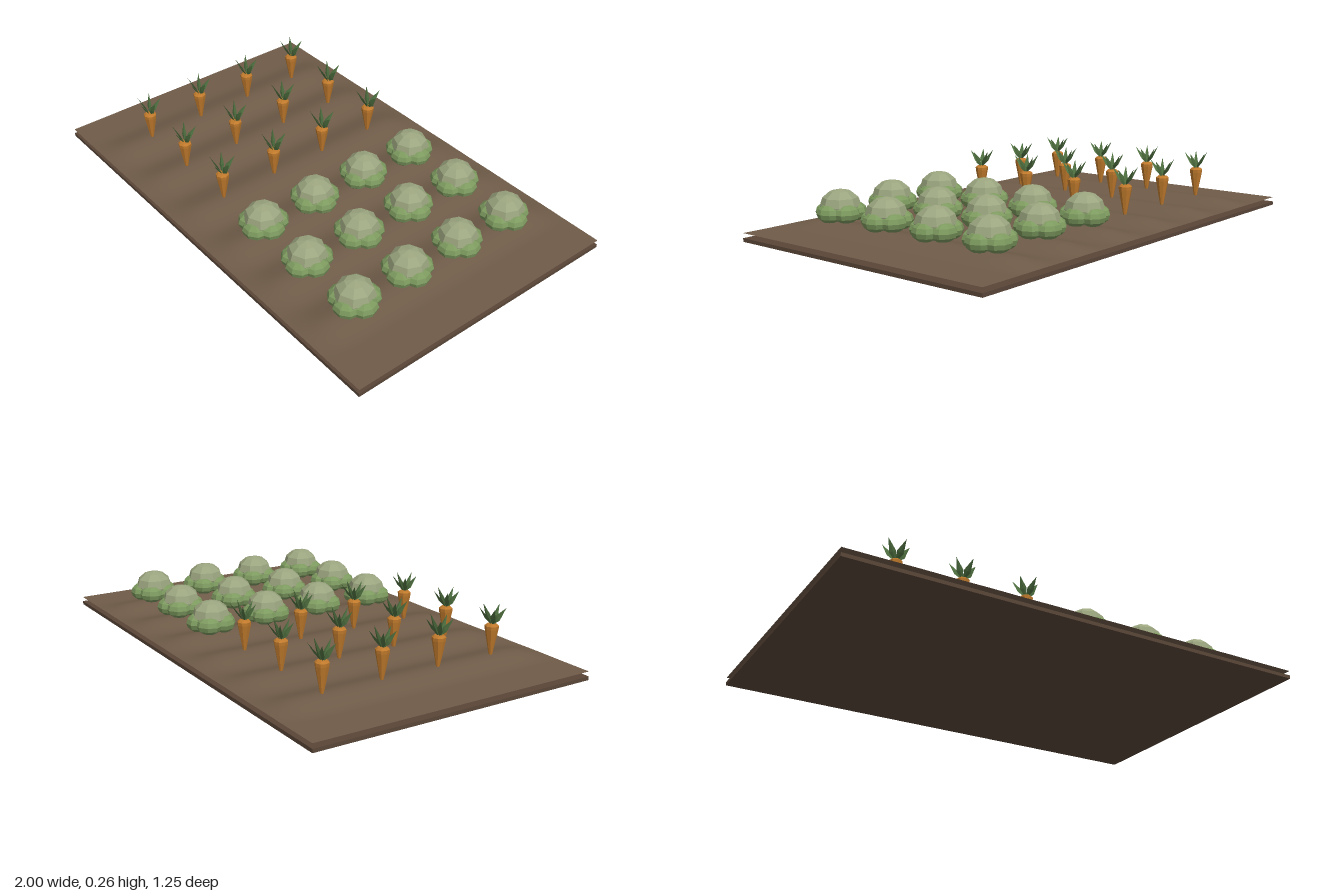
import * as THREE from 'three';

const flat = (color) => new THREE.MeshStandardMaterial({ color, flatShading: true });
const soilMat = new THREE.MeshStandardMaterial({ color: 0x6f5b48, side: THREE.DoubleSide });
const slabMat = flat(0x5a4638);
const rootMat = flat(0xc07a2c);
const topMat = flat(0x4f7040);
const headMat = flat(0x9ba57f);
const leafMat = flat(0x7d9a5f);

const ROWS = [-0.7, -0.42, -0.14, 0.14, 0.42, 0.7];
const SPOTS = [-0.393, -0.131, 0.131, 0.393];

function part(name, geometry, material, parent) {
  const mesh = new THREE.Mesh(geometry, material);
  mesh.name = name;
  parent.add(mesh);
  return mesh;
}

const profile = (pts) => pts.map(([r, y]) => new THREE.Vector2(r, y));

// Thin soil sheet raised into one rounded ridge per row, fading at both ends
function soilGeometry() {
  const geo = new THREE.PlaneGeometry(2, 1.25, 100, 24).rotateX(-Math.PI / 2);
  const pos = geo.attributes.position;
  for (let i = 0; i < pos.count; i++) {
    const x = pos.getX(i);
    const d = Math.min(...ROWS.map((r) => Math.abs(x - r)));
    const ridge = d < 0.14 ? 0.5 + 0.5 * Math.cos((Math.PI * d) / 0.14) : 0;
    const fade = 1 - THREE.MathUtils.smoothstep(Math.abs(pos.getZ(i)), 0.49, 0.64);
    pos.setY(i, 0.035 + 0.026 * ridge * fade);
  }
  geo.computeVertexNormals();
  return geo;
}

const rootGeo = new THREE.LatheGeometry(
  profile([[0, 0.055], [0.007, 0.06], [0.027, 0.165], [0.028, 0.178], [0.02, 0.185], [0, 0.187]]), 8);
const bladeGeo = new THREE.LatheGeometry(profile([[0, 0], [0.015, 0.04], [0, 0.094]]), 4);
bladeGeo.scale(1, 1, 0.22);

// Tapered root with five flat blades leaning outwards
function carrot() {
  const g = new THREE.Group();
  g.name = 'carrot';
  part('carrotRoot', rootGeo, rootMat, g);
  for (let i = 0; i < 5; i++) {
    const a = (i / 5) * Math.PI * 2;
    const blade = part('carrotLeaf', bladeGeo, topMat, g);
    blade.position.y = 0.178;
    blade.rotation.set(Math.sin(a) * 0.62, 0, -Math.cos(a) * 0.62);
  }
  return g;
}

const headGeo = new THREE.SphereGeometry(0.082, 8, 6).scale(1, 0.83, 1);
const outerGeo = new THREE.SphereGeometry(1, 8, 6).scale(0.045, 0.038, 0.055);

// Round head ringed by five plump outer leaves
function cabbage() {
  const g = new THREE.Group();
  g.name = 'cabbage';
  part('cabbageHead', headGeo, headMat, g).position.y = 0.128;
  for (let i = 0; i < 5; i++) {
    const a = (i / 5) * Math.PI * 2;
    const leaf = part('cabbageLeaf', outerGeo, leafMat, g);
    leaf.position.set(Math.cos(a) * 0.06, 0.104, Math.sin(a) * 0.06);
    leaf.rotation.y = -a;
  }
  return g;
}

export function createModel() {
  const model = new THREE.Group();
  model.name = 'vegetablePatch';

  // Ground slab with the soil sheet just above it
  part('groundSlab', new THREE.BoxGeometry(2, 0.015, 1.25), slabMat, model).position.y = 0.0075;
  part('soilRidges', soilGeometry(), soilMat, model);

  // Three rows of carrots, three of cabbages
  ROWS.forEach((x) => SPOTS.forEach((z) => {
    const plant = x < 0 ? carrot() : cabbage();
    plant.position.set(x, 0, z);
    model.add(plant);
  }));
  return model;
}
